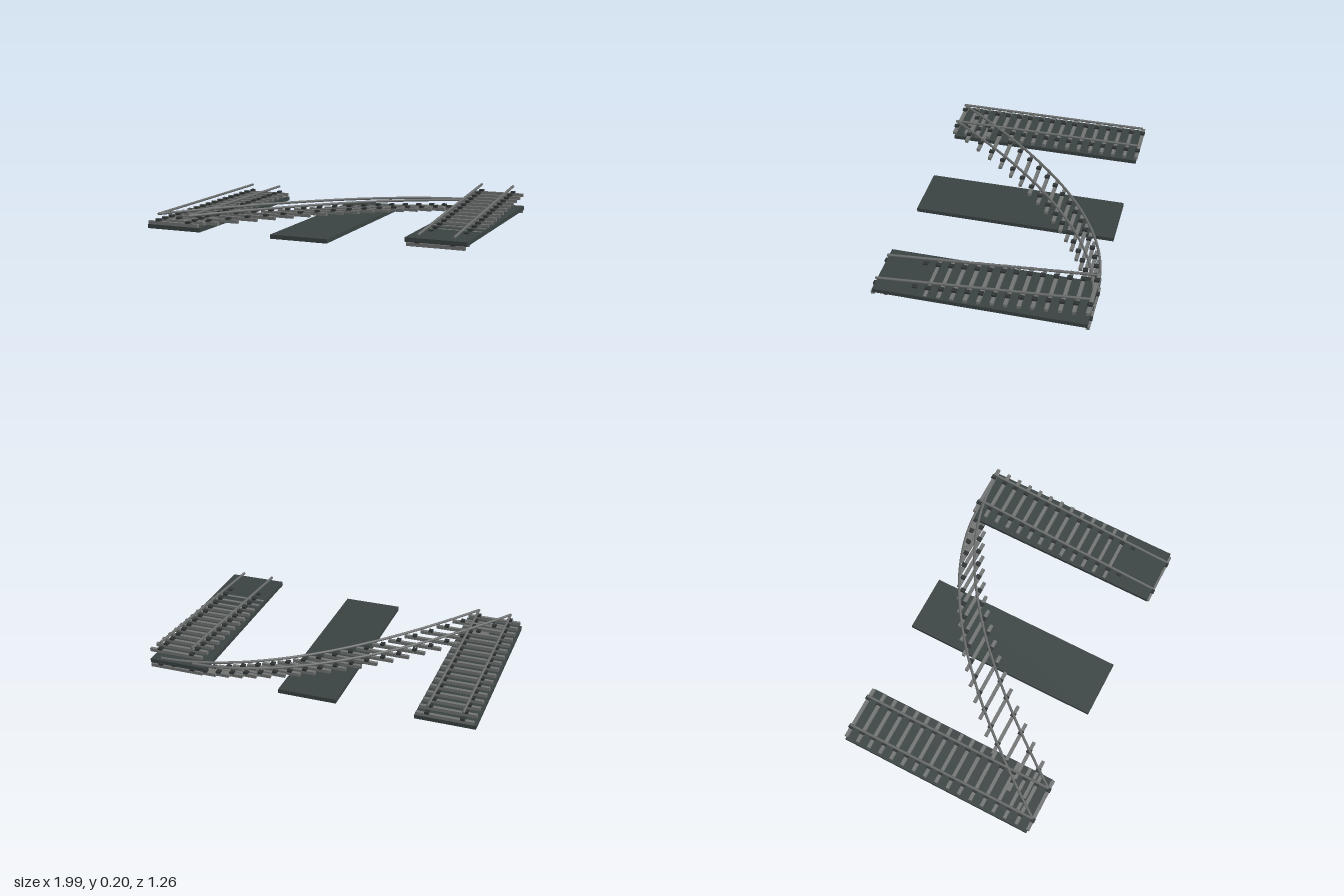
import * as THREE from 'three';

const mat = (name, color) => {
  const m = new THREE.MeshStandardMaterial({ color });
  m.name = name;
  return m;
};

export function createModel() {
  const model = new THREE.Group();
  model.name = 'railTracks';
  const slabMat = mat('dark slab', 0x3a4242);
  const sleeperMat = mat('grey sleeper', 0x717472);
  const plateMat = mat('charcoal plate', 0x2e3333);
  const railMat = mat('steel rail', 0x6a6d6c);

  const trackX = 0.82, halfGauge = 0.102, endZ = 0.615, rise = 0.102;
  const slabGeo = new THREE.BoxGeometry(0.355, 0.025, 1.23);
  const sleeperGeo = new THREE.BoxGeometry(0.335, 0.02, 0.02);
  const plateGeo = new THREE.BoxGeometry(0.026, 0.012, 0.03);

  const add = (parent, name, geo, material, x = 0, y = 0, z = 0) => {
    const mesh = new THREE.Mesh(geo, material);
    mesh.name = name;
    mesh.position.set(x, y, z);
    parent.add(mesh);
  };

  // Sleeper with a tie plate under each rail
  const addSleeper = (parent, x, y, z) => {
    add(parent, 'sleeper', sleeperGeo, sleeperMat, x, y + 0.04, z);
    for (const s of [-1, 1])
      add(parent, 'tiePlate', plateGeo, plateMat, x + s * halfGauge, y + 0.056, z);
  };

  // Pair of round rails along a centre curve, with closed ends
  const addRails = (parent, curve, segments) => {
    const tube = new THREE.TubeGeometry(curve, segments, 0.008, 8);
    const cap = new THREE.CircleGeometry(0.008, 8);
    for (const s of [-1, 1]) {
      add(parent, 'rail', tube, railMat, s * halfGauge);
      for (const t of [0, 1]) {
        const end = new THREE.Mesh(cap, railMat);
        end.name = 'railEnd';
        end.position.copy(curve.getPointAt(t));
        const dir = curve.getTangentAt(t).multiplyScalar(t ? 1 : -1);
        end.quaternion.setFromUnitVectors(new THREE.Vector3(0, 0, 1), dir);
        end.position.x += s * halfGauge;
        parent.add(end);
      }
    }
  };

  // Base slabs
  add(model, 'levelSlab', slabGeo, slabMat, -0.822, 0.0135, -0.002);
  add(model, 'middleSlab', slabGeo, slabMat, -0.002, 0.0135, -0.002);
  add(model, 'rampSlab', slabGeo, slabMat, 0.818, 0.0625, -0.002);

  // Straight tracks: level on the right, climbing to the back on the left
  const straight = (name, x, climb) => {
    const g = new THREE.Group();
    g.name = name;
    for (let i = 0; i <= 16; i++) {
      const t = i / 16;
      addSleeper(g, x, climb * t, endZ - 2 * endZ * t);
    }
    addRails(g, new THREE.LineCurve3(
      new THREE.Vector3(x, 0.094, endZ),
      new THREE.Vector3(x, 0.094 + climb, -endZ)), 1);
    model.add(g);
  };
  straight('levelTrack', -trackX, 0);
  straight('rampTrack', trackX, rise);

  // Curved track crossing between the two
  const curved = new THREE.Group();
  curved.name = 'curvedTrack';
  const arc = (cx, cz, y) => new THREE.QuadraticBezierCurve3(
    new THREE.Vector3(-trackX, y, endZ),
    new THREE.Vector3(cx, y, cz),
    new THREE.Vector3(trackX, y, -endZ - 0.003));
  const sleeperLine = arc(0, -0.53, 0);
  for (let i = 0; i <= 21; i++) {
    const p = sleeperLine.getPoint(i / 21);
    addSleeper(curved, p.x, 0, p.z);
  }
  addRails(curved, arc(0.06, -0.62, 0.094), 40);
  model.add(curved);

  return model;
}
